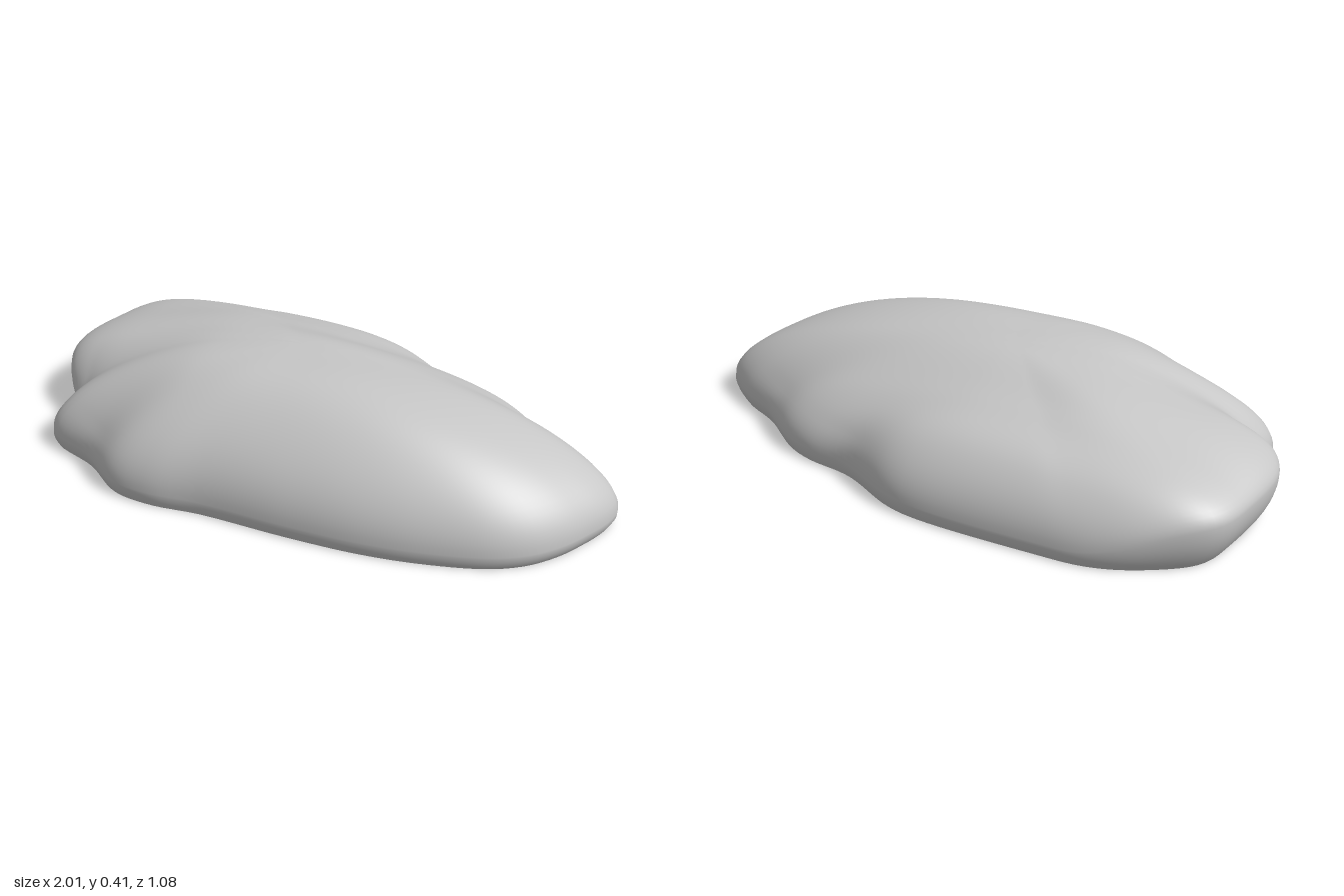
import * as THREE from 'three';

// Plan of the widest line, [x, z], going from the left tip round the front
const OUTLINE = [
  [1, -0.06], [1, 0.02], [0.96, 0.13], [0.92, 0.21], [0.85, 0.3], [0.75, 0.37], [0.55, 0.44], [0.35, 0.48],
  [0.1, 0.5], [-0.2, 0.51], [-0.38, 0.535], [-0.52, 0.52], [-0.68, 0.42], [-0.86, 0.35], [-0.88, 0.29],
  [-0.87, 0.2], [-0.95, 0.1], [-1, -0.02], [-0.98, -0.24], [-0.95, -0.35], [-0.9, -0.41], [-0.75, -0.49],
  [-0.6, -0.53], [-0.4, -0.54], [0, -0.535], [0.12, -0.51], [0.33, -0.41], [0.5, -0.38], [0.6, -0.34],
  [0.76, -0.22], [0.9, -0.15],
];
const CX = -0.08, TOP = 0.408, SEGMENTS = 160, DOME = 28, SKIRT = 8, BLUR = 9;
const bump = (v, width) => Math.exp(-((v / width) ** 2));
const { smoothstep, lerp } = THREE.MathUtils;

// Two slanting furrows divide the stone into three lobes
function furrow(x, z, t) {
  const u = z + 0.46 * x;
  return (bump(u + 0.21, 0.12) + bump(u - 0.03 - 0.09 * t, 0.1)) * (0.004 + 0.022 * t * t);
}

// The front lobe is fuller; the back and right-hand shoulders are lower
function fullness(x, z) {
  const front = 0.1 * bump(z - 0.26, 0.17);
  const back = 0.1 * smoothstep(-z, 0.04, 0.25) * (1 - 0.8 * smoothstep(-z, 0.3, 0.46));
  return 1 + front - back - 0.08 * smoothstep(-x, 0.35, 0.75);
}

export function createModel() {
  const stone = new THREE.MeshStandardMaterial({ color: 0xc6c6c6 });
  stone.name = 'grey stone';

  const curve = new THREE.CatmullRomCurve3(OUTLINE.map(([x, z]) => new THREE.Vector3(x, 0, z)), true, 'centripetal');
  const rim = curve.getSpacedPoints(SEGMENTS).slice(0, SEGMENTS);

  // Softened rim, so that its notches fade towards the crown
  const softRim = rim.map((_, i) => {
    const sum = new THREE.Vector3();
    for (let k = -BLUR; k <= BLUR; k++) sum.add(rim[(i + k + SEGMENTS) % SEGMENTS]);
    return sum.divideScalar(2 * BLUR + 1);
  });

  // Rings from the crown down to the rim, then tucked in to the base
  const positions = [CX, TOP - furrow(CX, 0, 0), 0];
  const base = [];
  for (let j = 1; j <= DOME + SKIRT; j++) {
    rim.forEach((p, i) => {
      const blunt = smoothstep(-p.x, 0.5, 0.95) * (1 - smoothstep(p.z, 0.05, 0.25));
      const edge = 0.05 + 0.11 * blunt;
      const angle = Math.min(1, j / DOME) * Math.PI / 2;
      const s = Math.max(0, (j - DOME) / SKIRT);
      const t = Math.sin(angle) - (0.02 + 0.045 * blunt) * s * s;
      const detail = j < DOME ? t ** 4 : 1;
      const x = CX + (lerp(softRim[i].x, p.x, detail) - CX) * t;
      const z = lerp(softRim[i].z, p.z, detail) * t;
      let y = edge * (1 - s);
      if (j < DOME) {
        const rise = (TOP - edge) * Math.cos(angle) * fullness(x, z);
        y += rise - furrow(x, z, t) * Math.min(1, rise / 0.12);
      }
      positions.push(x, y, z);
      if (j === DOME + SKIRT) base.push(new THREE.Vector2(x, z));
    });
  }

  const index = [];
  const at = (j, i) => 1 + (j - 1) * SEGMENTS + (i % SEGMENTS);
  for (let i = 0; i < SEGMENTS; i++) {
    index.push(0, at(1, i + 1), at(1, i));
    for (let j = 1; j < DOME + SKIRT; j++) {
      const a = at(j, i), b = at(j, i + 1), c = at(j + 1, i), d = at(j + 1, i + 1);
      index.push(a, b, c, b, d, c);
    }
  }
  const geometry = new THREE.BufferGeometry();
  geometry.setAttribute('position', new THREE.Float32BufferAttribute(positions, 3));
  geometry.setIndex(index);
  geometry.computeVertexNormals();
  const body = new THREE.Mesh(geometry, stone);
  body.name = 'lobedStone';

  // Flat underside
  const underside = new THREE.Mesh(new THREE.ShapeGeometry(new THREE.Shape(base)).rotateX(Math.PI / 2), stone);
  underside.name = 'underside';

  const group = new THREE.Group();
  group.name = 'rock';
  group.add(body, underside);
  return group;
}
